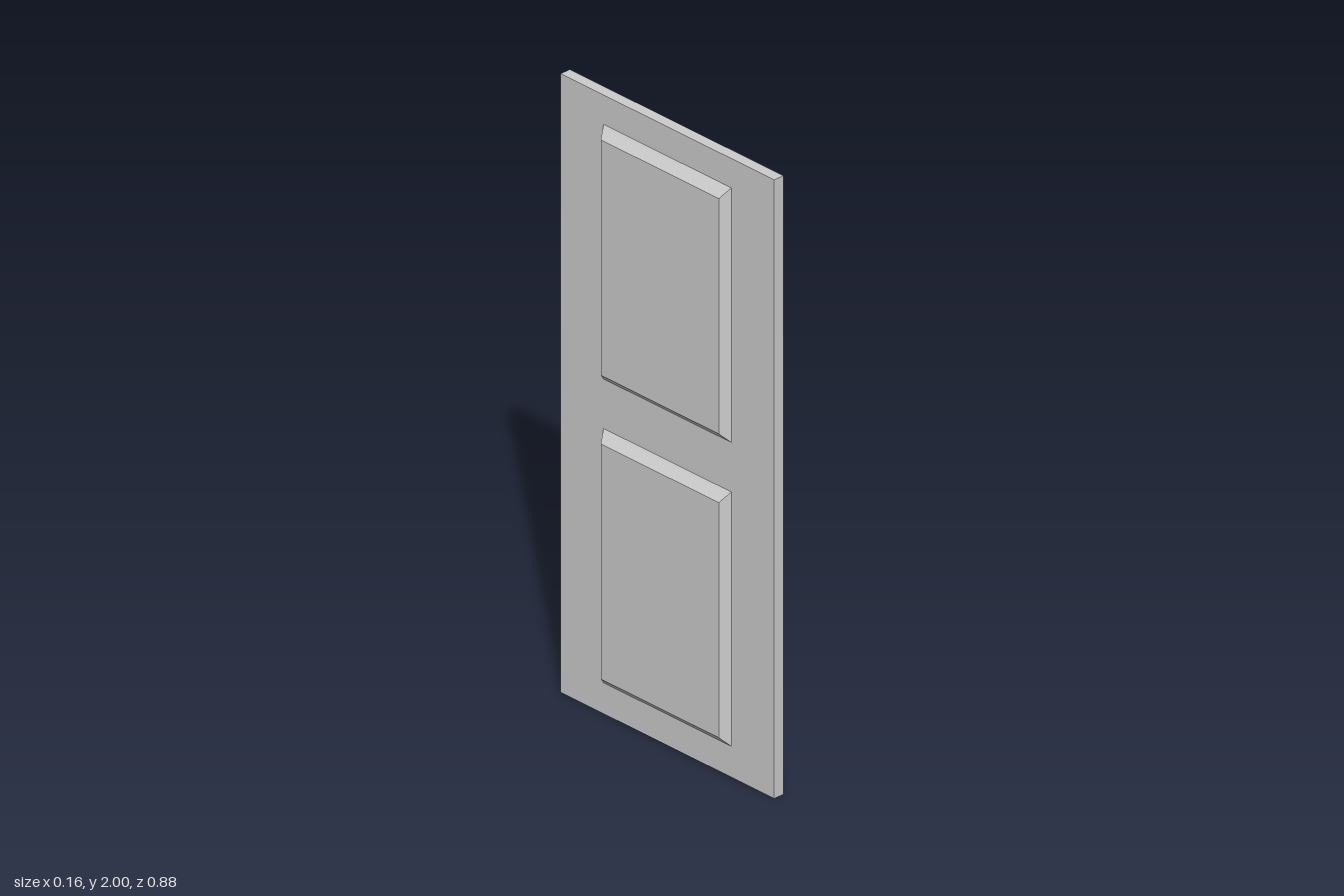
import * as THREE from 'three';

const material = new THREE.MeshStandardMaterial({ color: 0xcccccc });
const flatMaterial = new THREE.MeshStandardMaterial({ color: 0xcccccc, flatShading: true });

const SLAB_X = -0.035; // middle of the slab's thickness
const SLAB_T = 0.036;

// Raised field: a box whose outer face is drawn in to form a bevelled edge
function raisedPanel(name, y0, y1, side) {
  const width = 0.524, height = y1 - y0, depth = 0.03, inset = 0.02, insetY = 0.031;
  const geometry = new THREE.BoxGeometry(depth, height, width);
  const p = geometry.attributes.position;
  for (let i = 0; i < p.count; i++) {
    if (p.getX(i) * side > 0) {
      p.setY(i, p.getY(i) - Math.sign(p.getY(i)) * insetY);
      p.setZ(i, p.getZ(i) - Math.sign(p.getZ(i)) * inset);
    }
  }
  geometry.computeVertexNormals();
  const mesh = new THREE.Mesh(geometry, flatMaterial);
  mesh.name = name;
  mesh.position.set(SLAB_X + side * (SLAB_T + depth) / 2, (y0 + y1) / 2, 0);
  return mesh;
}

export function createModel() {
  const door = new THREE.Group();
  door.name = 'door';

  // Slab
  const slab = new THREE.Mesh(new THREE.BoxGeometry(SLAB_T, 2, 0.876), flatMaterial);
  slab.name = 'slab';
  slab.position.set(SLAB_X, 1, 0);
  door.add(slab);

  // Bevelled panels on both faces
  for (const side of [-1, 1]) {
    const face = side > 0 ? 'left' : 'right';
    door.add(raisedPanel(`${face}LowerPanel`, 0.1, 0.922, side));
    door.add(raisedPanel(`${face}UpperPanel`, 1.082, 1.905, side));
  }

  // Knob turned from a profile of [radius, distance along x]
  const profile = [[0.027, -0.02], [0.027, 0.025], [0.038, 0.041], [0.034, 0.056],
    [0.025, 0.073], [0.012, 0.081], [0, 0.082]];
  const knob = new THREE.Mesh(
    new THREE.LatheGeometry(profile.map(([r, h]) => new THREE.Vector2(r, h)), 16), material);
  knob.name = 'knob';
  knob.rotation.z = -Math.PI / 2;
  knob.position.set(0, 1, -0.36);
  door.add(knob);

  return door;
}
